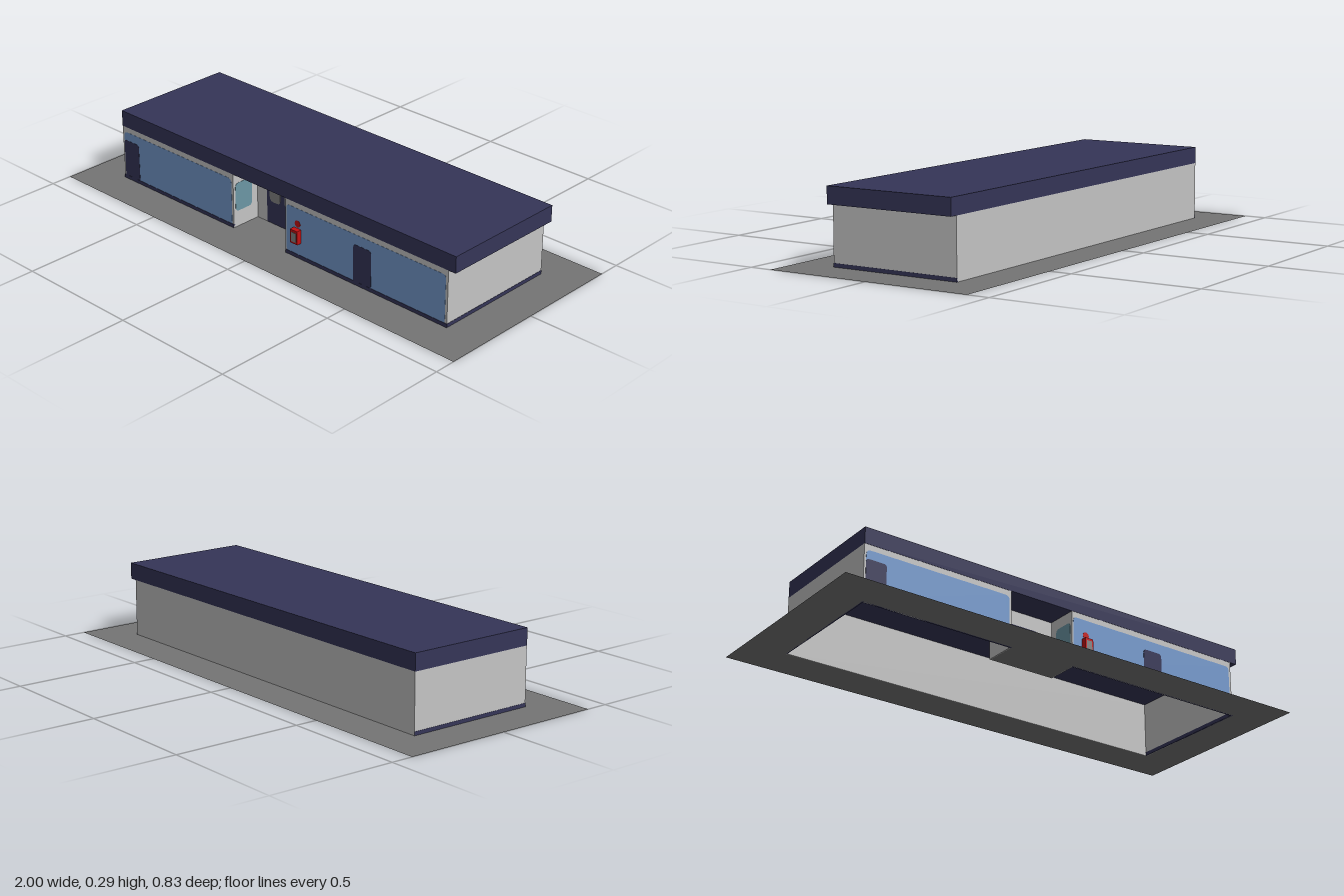
import * as THREE from 'three';

const paint = (name, hex, side = THREE.FrontSide) => {
  const m = new THREE.MeshStandardMaterial({ color: hex, side });
  m.name = name;
  return m;
};

export function createModel() {
  const wall = paint('wall grey', 0xc4c4c4);
  const navy = paint('navy', 0x353557);
  const glass = paint('window blue', 0x7499cc);
  const teal = paint('side window teal', 0x6c96a4);
  const paving = paint('paving grey', 0x757575, THREE.DoubleSide);
  const pane = paint('door pane grey', 0x848484);
  const red = paint('red', 0xc41012);

  const group = new THREE.Group();
  const X = 0.84, Z = 0.262, H = 0.225;          // body half width, half depth, height
  const RL = -0.215, RR = 0.06, RZ = 0.135;      // entrance recess: sides and back
  const T = 0.004;                               // wall thickness

  const add = (name, geo, mat, x = 0, y = 0, z = 0) => {
    const mesh = new THREE.Mesh(geo, mat);
    mesh.name = name;
    mesh.position.set(x, y, z);
    group.add(mesh);
    return mesh;
  };
  const box = (name, mat, x0, x1, y0, y1, z0, z1) =>
    add(name, new THREE.BoxGeometry(x1 - x0, y1 - y0, z1 - z0), mat,
      (x0 + x1) / 2, (y0 + y1) / 2, (z0 + z1) / 2);

  // Upright plate with rounded top (rt) and bottom (rb) corners, centred on its wall
  const plate = (name, mat, x0, x1, y0, y1, z, t, rt = 0, rb = 0) => {
    const w = (x1 - x0) / 2, h = y1 - y0;
    const s = new THREE.Shape();
    s.moveTo(-w + rb, 0);
    s.lineTo(w - rb, 0);
    if (rb) s.quadraticCurveTo(w, 0, w, rb);
    s.lineTo(w, h - rt);
    if (rt) s.quadraticCurveTo(w, h, w - rt, h);
    s.lineTo(-w + rt, h);
    if (rt) s.quadraticCurveTo(-w, h, -w, h - rt);
    s.lineTo(-w, rb);
    if (rb) s.quadraticCurveTo(-w, 0, -w + rb, 0);
    const g = new THREE.ExtrudeGeometry(s, { depth: t, bevelEnabled: false, curveSegments: 6 });
    g.translate(0, 0, -t / 2);
    return add(name, g, mat, (x0 + x1) / 2, y0, z);
  };

  // Paving, open beneath the building
  const ground = new THREE.Shape([[-1, -0.414], [1, -0.414], [1, 0.414], [-1, 0.414]]
    .map(p => new THREE.Vector2(...p)));
  ground.holes.push(new THREE.Path([[-X, Z], [X, Z], [X, -Z], [RR, -Z], [RR, -RZ],
    [RL, -RZ], [RL, -Z], [-X, -Z]].map(p => new THREE.Vector2(...p))));
  add('paving', new THREE.ShapeGeometry(ground).rotateX(-Math.PI / 2), paving);

  // Roof, longer at its left end
  box('roof', navy, -X, 0.872, H, 0.29, -Z, Z);

  // Outer walls and the walls of the entrance recess
  box('backWall', wall, -X, X, 0, H, -Z, -Z + T);
  box('rightWall', wall, -X, -X + T, 0, H, -Z, Z - T);
  box('leftWall', wall, X - T, X, 0, H, -Z, Z - T);
  const F = Z - 0.003;                           // middle of the front wall
  box('frontWallRight', wall, -X, RL, 0, H, F - T / 2, F + T / 2);
  box('frontWallLeft', wall, RR, X, 0, H, F - T / 2, F + T / 2);
  box('recessBackWall', wall, RL, RR, 0, H, RZ - T, RZ);
  box('recessRightWall', wall, RL - T, RL, 0, H, RZ - T, F);
  box('recessLeftWall', wall, RR, RR + T, 0, H, RZ - T, F);

  // Long front windows, visible from both sides
  plate('frontWindowRight', glass, -0.832, -0.224, 0.01, 0.203, F, 0.0055, 0.02, 0.008);
  plate('frontWindowLeft', glass, 0.066, 0.83, 0.01, 0.203, F, 0.0055, 0.015, 0.012);

  // Single doors in the windows
  plate('frontDoorRight', navy, -0.832, -0.748, 0.005, 0.168, F, 0.007, 0.012);
  plate('frontDoorLeft', navy, 0.4, 0.486, 0.005, 0.163, F, 0.007, 0.015);

  // Entrance door with two panes
  const D = RZ - T / 2;
  plate('entranceDoor', navy, -0.162, 0, 0.001, 0.168, D, 0.007, 0.022);
  for (const x of [-0.119, -0.041])
    plate('entrancePane', pane, x - 0.028, x + 0.028, 0.093, 0.152, D, 0.0085, 0.018, 0.018);

  // Windows in the sides of the recess
  for (const x of [RL - T / 2, RR + T / 2]) {
    const w = plate('recessWindow', teal, -0.043, 0.043, 0.065, 0.182, 0, 0.006, 0.018, 0.018);
    w.position.set(x, 0.065, 0.208);
    w.rotation.y = Math.PI / 2;
  }

  // Skirting along the front and both ends
  const B = 0.0145;
  box('skirtingFrontRight', navy, -X, RL, 0, B, F - 0.004, F + 0.004);
  box('skirtingFrontLeft', navy, RR, X, 0, B, F - 0.004, F + 0.004);
  for (const s of [-1, 1])
    box('skirtingEnd', navy, s * (X - T / 2) - 0.003, s * (X - T / 2) + 0.003, 0, B, -Z, Z);

  // Wall box with a grey front panel and a round sign above
  box('redBox', red, 0.105, 0.141, 0.067, 0.122, F, 0.283);
  plate('redBoxPanel', pane, 0.111, 0.135, 0.074, 0.112, 0.283, 0.002);
  add('redSign', new THREE.CylinderGeometry(0.014, 0.014, 0.007, 20).rotateX(Math.PI / 2),
    red, 0.123, 0.14, F);

  return group;
}
